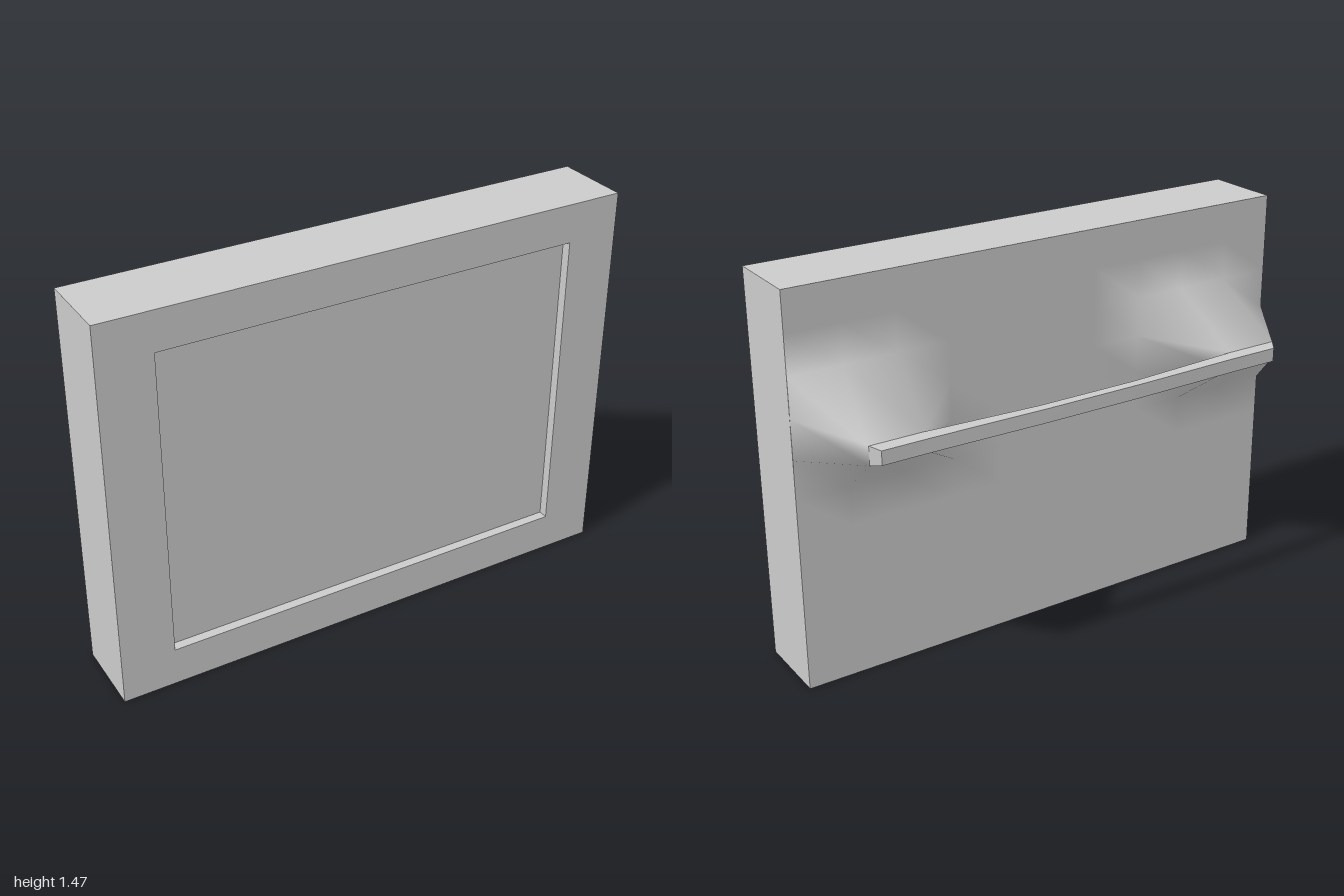
import * as THREE from 'three';

const W = 2, H = 1.47, FRONT = 0.292, MOUNT_Y = 0.955;
const material = new THREE.MeshStandardMaterial({ color: 0xcccccc });

function part(name, geometry) {
  const mesh = new THREE.Mesh(geometry, material);
  mesh.name = name;
  return mesh;
}

// Rectangle outline centred on x = 0
function rectangle(Type, halfWidth, bottom, top) {
  return new Type([
    new THREE.Vector2(-halfWidth, bottom), new THREE.Vector2(halfWidth, bottom),
    new THREE.Vector2(halfWidth, top), new THREE.Vector2(-halfWidth, top),
  ]);
}

// Rectangular frame around the picture opening
function frameGeometry() {
  const shape = rectangle(THREE.Shape, W / 2, 0, H);
  shape.holes.push(rectangle(THREE.Path, 0.8, H * 0.1, H * 0.9));
  return new THREE.ExtrudeGeometry(shape, { depth: FRONT - 0.001, bevelEnabled: false })
    .translate(0, 0, 0.001);
}

// Back panel: a 10 x 10 grid with one cell on each side drawn out into a mount
function backGeometry() {
  const g = new THREE.PlaneGeometry(H, W, 10, 10)
    .rotateZ(Math.PI / 2).rotateY(Math.PI).translate(0, H / 2, 0);
  const p = g.attributes.position;
  for (let i = 0; i < p.count; i++) {
    const column = Math.round(Math.abs(p.getX(i)) * 5);
    const row = Math.round(p.getY(i) / H * 10);
    if ((column === 3 || column === 4) && (row === 6 || row === 7)) {
      const x = column === 3 ? 0.64 : 0.845;
      p.setXYZ(i, Math.sign(p.getX(i)) * x, MOUNT_Y + (row === 6 ? -0.035 : 0.035), -0.246);
    } else {
      p.setZ(i, 0);
    }
  }
  g.computeVertexNormals();
  return g;
}

// Slightly bowed bar joining the two mounts, tapered at its ends
function barGeometry() {
  const g = new THREE.BoxGeometry(5, 1, 1, 5, 1, 1);
  const p = g.attributes.position;
  const innerX = [0.2, 0.64, 0.845], outerX = [0.2, 0.62, 0.82];
  for (let i = 0; i < p.count; i++) {
    const station = Math.round(Math.abs(p.getX(i)) - 0.5);
    const inner = p.getZ(i) > 0;
    const x = (inner ? innerX : outerX)[station];
    const z = (inner ? -0.246 : -0.284) - (station === 0 ? 0.009 : 0);
    const halfHeight = inner && station > 0 ? 0.035 : 0.026;
    p.setXYZ(i, Math.sign(p.getX(i)) * x, MOUNT_Y + Math.sign(p.getY(i)) * halfHeight, z);
  }
  g.computeVertexNormals();
  return g;
}

export function createModel() {
  const model = new THREE.Group();
  model.name = 'wallFrame';

  // Front: frame with a shallow recessed panel
  model.add(part('frame', frameGeometry()));
  model.add(part('recessedPanel',
    new THREE.PlaneGeometry(1.6, H * 0.8).translate(0, H / 2, FRONT - 0.036)));

  // Rear: panel with mounts and the hanging bar
  model.add(part('backPanelWithMounts', backGeometry()));
  model.add(part('hangingBar', barGeometry()));
  return model;
}
